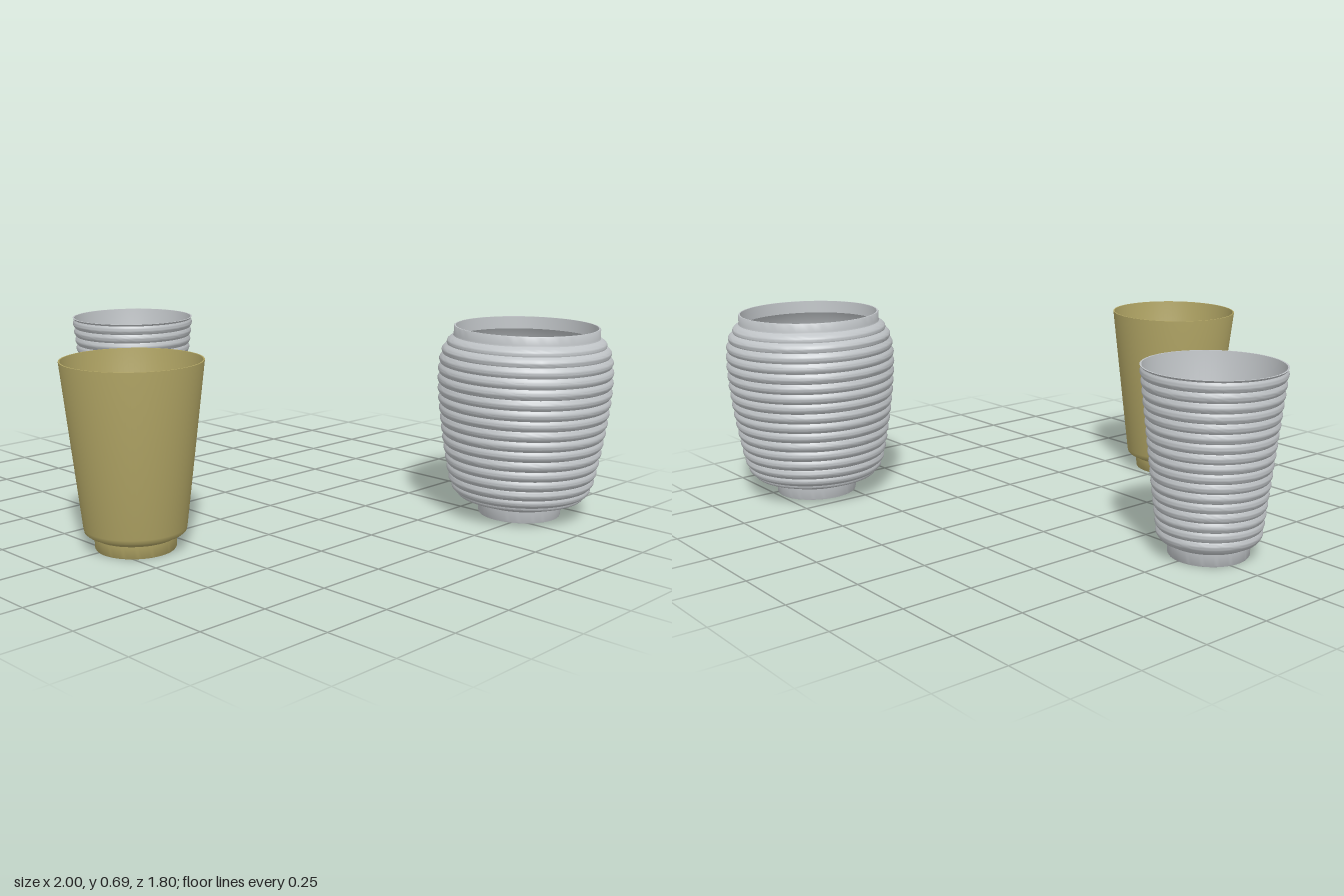
import * as THREE from 'three';
import { toCreasedNormals } from 'three/addons/utils/BufferGeometryUtils.js';

const SEGMENTS = 72;

// Radius at height y along a list of [radius, y] points, smoothed by a curve
function wallCurve(points) {
  return new THREE.SplineCurve(points.map(([r, y]) => new THREE.Vector2(r, y)));
}

// Sample a wall and add rounded horizontal ribs bulging outwards
function ribbedWall(points, ribs, depth, steps = 6) {
  const curve = wallCurve(points);
  const result = [];
  for (let i = 0; i <= ribs * steps; i++) {
    const p = curve.getPointAt(i / (ribs * steps));
    const bulge = Math.abs(Math.sin((Math.PI * i) / steps));
    result.push([p.x + depth * (bulge - 0.5), p.y]);
  }
  return result;
}

// Turn a closed outer-to-inner profile into a vessel
function vessel(name, profile, material, x, z) {
  const lathe = new THREE.LatheGeometry(profile.map(([r, y]) => new THREE.Vector2(r, y)), SEGMENTS);
  const mesh = new THREE.Mesh(toCreasedNormals(lathe, 0.65), material);
  mesh.name = name;
  mesh.position.set(x, 0, z);
  return mesh;
}

export function createModel() {
  const model = new THREE.Group();
  model.name = 'vessels';

  const grey = new THREE.MeshStandardMaterial({ color: 0xbfc3c6 });
  grey.name = 'pale grey glaze';
  const olive = new THREE.MeshStandardMaterial({ color: 0xb0a464 });
  olive.name = 'olive glaze';

  // Shared foot and inside of the two tapered cups
  const cupFoot = [[0, 0], [0.133, 0], [0.136, 0.005], [0.138, 0.043], [0.145, 0.05], [0.163, 0.056]];
  const cupInside = [[0.232, 0.635], [0.172, 0.075], [0.168, 0.068], [0, 0.068]];

  // Ribbed tapered cup
  model.add(vessel('ribbedCup', [
    ...cupFoot,
    ...ribbedWall([[0.171, 0.062], [0.204, 0.345], [0.236, 0.628]], 17, 0.007),
    [0.238, 0.635],
    ...cupInside,
  ], grey, -0.76, 0.033));

  // Smooth tapered cup
  model.add(vessel('smoothCup', [
    ...cupFoot,
    [0.170, 0.062], [0.173, 0.075], [0.237, 0.632], [0.237, 0.635],
    ...cupInside,
  ], olive, 0.035, 0.66));

  // Ribbed round pot with a short neck
  model.add(vessel('ribbedPot', [
    [0, 0], [0.145, 0], [0.147, 0.005], [0.149, 0.042], [0.16, 0.05], [0.185, 0.054],
    ...ribbedWall([
      [0.2, 0.058], [0.232, 0.08], [0.254, 0.125], [0.272, 0.215], [0.29, 0.33],
      [0.302, 0.44], [0.304, 0.53], [0.293, 0.6], [0.262, 0.65],
    ], 17, 0.009),
    [0.256, 0.655], [0.256, 0.682], [0.254, 0.685],
    // Inside
    [0.249, 0.685], [0.247, 0.64], [0.283, 0.59], [0.294, 0.53], [0.291, 0.43],
    [0.278, 0.32], [0.26, 0.21], [0.243, 0.13], [0.222, 0.088], [0.205, 0.07], [0, 0.07],
  ], grey, 0.692, -0.595));

  return model;
}
